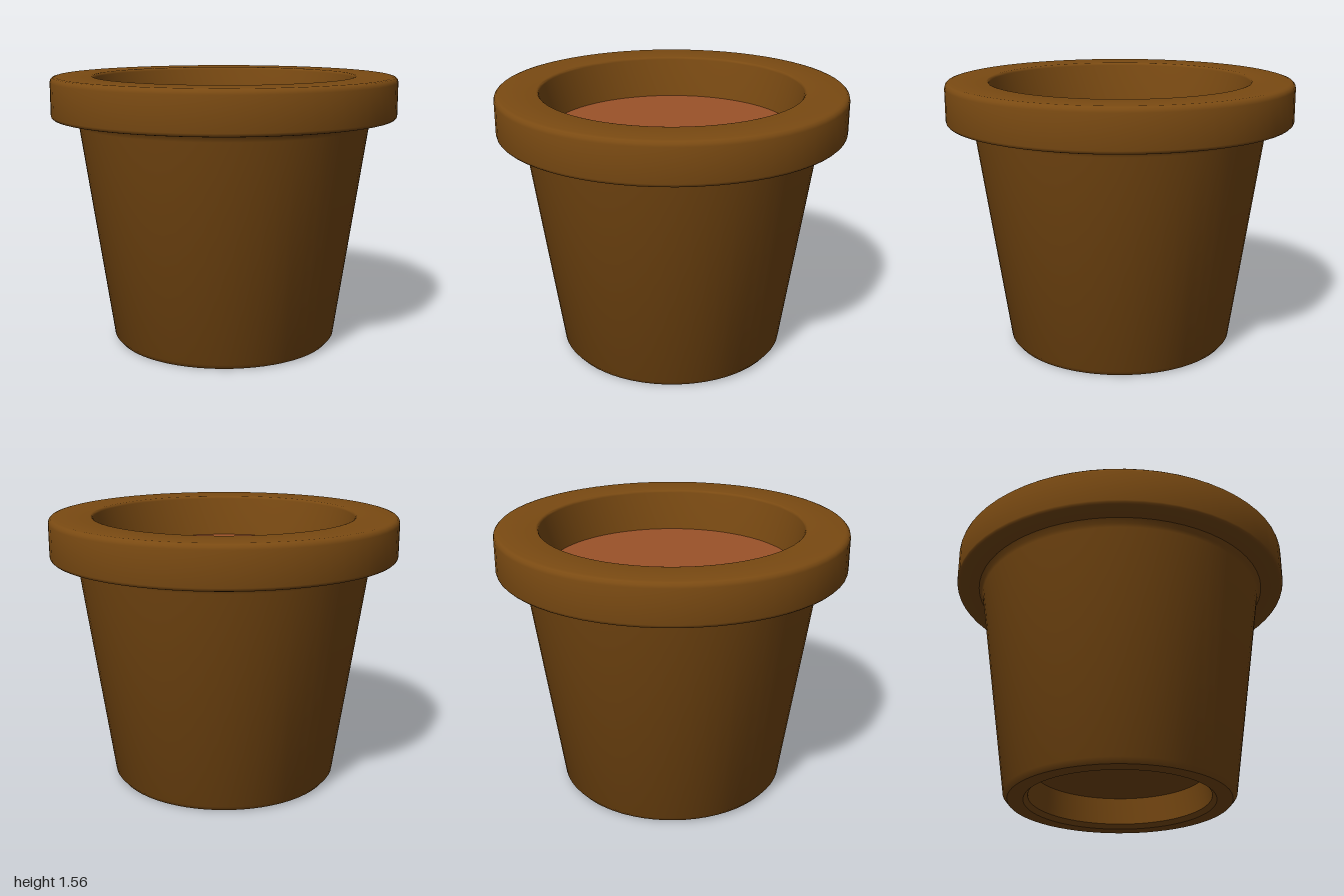
import * as THREE from 'three';
import { toCreasedNormals } from 'three/addons/utils/BufferGeometryUtils.js';

const SEGMENTS = 64;

// Rounded corner: points on an arc around (cx, cy), angles in degrees
function arc(cx, cy, r, from, to, steps = 3) {
  const points = [];
  for (let i = 0; i <= steps; i++) {
    const a = THREE.MathUtils.degToRad(from + ((to - from) * i) / steps);
    points.push([cx + r * Math.cos(a), cy + r * Math.sin(a)]);
  }
  return points;
}

export function createModel() {
  const group = new THREE.Group();
  group.name = 'flowerPot';

  const clay = new THREE.MeshStandardMaterial({ color: 0x7a4a12 });
  const earth = new THREE.MeshStandardMaterial({ color: 0x9b5229 });

  // Pot profile, from the recessed underside, up the outside, over the rim and down inside
  const profile = [
    [0, 0.18], [0.5, 0.18],               // recess ceiling
    [0.52, 0.025], [0.545, 0],            // recess wall and foot ring
    [0.635, 0], [0.66, 0.03],             // bevelled foot
    [0.842, 1.28], [0.85, 1.3], [0.867, 1.325], // tapered body flaring into the rim
    ...arc(0.98, 1.345, 0.02, -90, 0),    // lower rim edge
    ...arc(0.97, 1.532, 0.03, 0, 90),     // upper rim edge
    ...arc(0.765, 1.547, 0.015, 90, 180), // mouth edge
    [0.71, 1.3],                          // inner wall, ending below the soil
  ].map(([x, y]) => new THREE.Vector2(x, y));

  const pot = new THREE.Mesh(
    toCreasedNormals(new THREE.LatheGeometry(profile, SEGMENTS), 0.6), clay);
  pot.name = 'pot';
  group.add(pot);

  // Soil surface filling the mouth
  const soil = new THREE.Mesh(new THREE.CircleGeometry(0.715, SEGMENTS), earth);
  soil.name = 'soil';
  soil.rotation.x = -Math.PI / 2;
  soil.position.y = 1.32;
  group.add(soil);

  return group;
}
